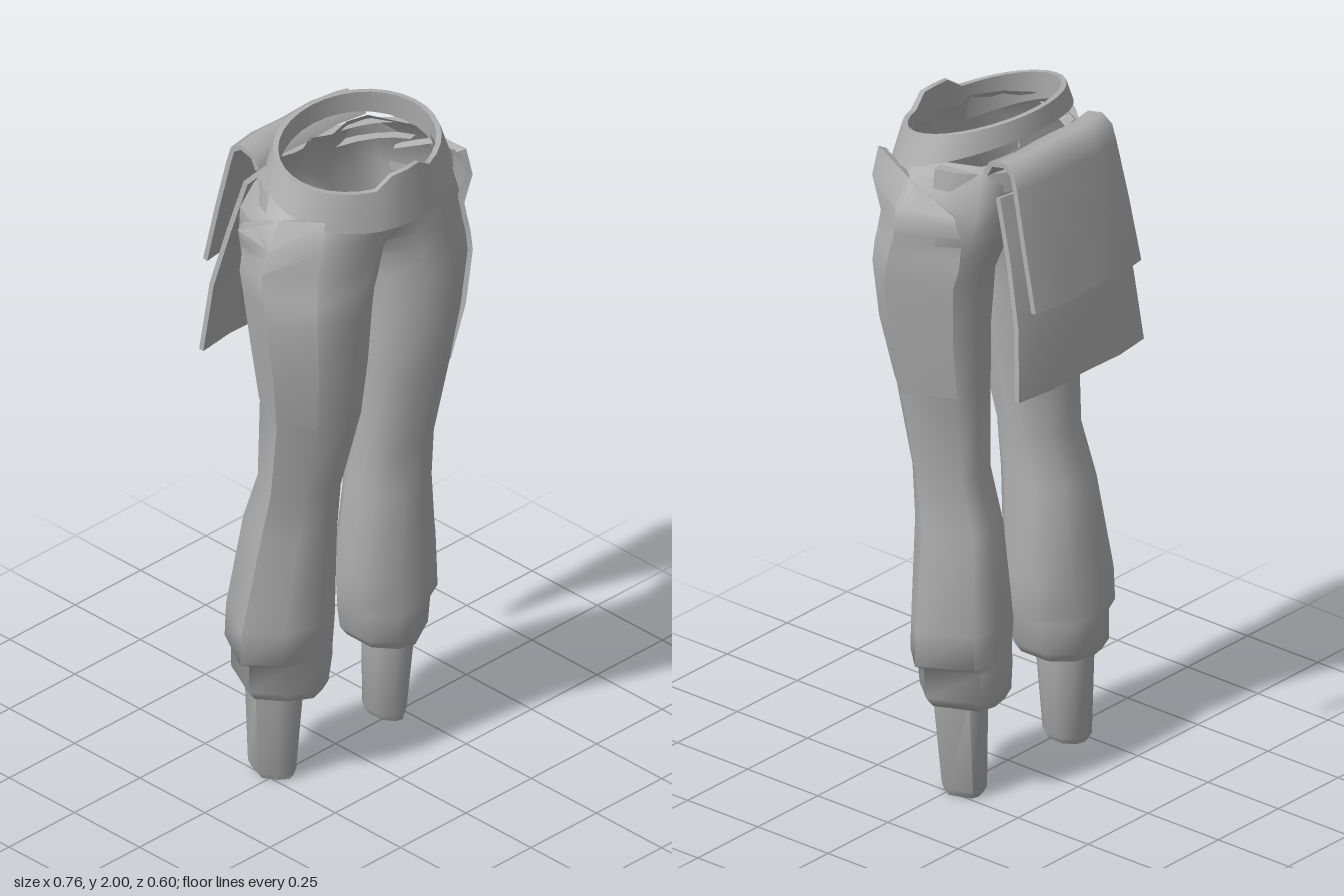
import * as THREE from 'three';
import { mergeGeometries, toCreasedNormals } from 'three/addons/utils/BufferGeometryUtils.js';

// Skin rows of points (bottom to top); faces lying on the centre plane are left out
function loft(rows, closed, flip = false) {
  const n = rows[0].length, pos = rows.flat(2), idx = [];
  for (let r = 0; r < rows.length - 1; r++) {
    for (let i = 0; i < (closed ? n : n - 1); i++) {
      const j = (i + 1) % n;
      const q = [r * n + i, r * n + j, (r + 1) * n + j, (r + 1) * n + i];
      if (q.every(k => Math.abs(pos[k * 3]) < 1e-6)) continue;
      if (flip) q.reverse();
      idx.push(q[0], q[1], q[2], q[0], q[2], q[3]);
    }
  }
  const g = new THREE.BufferGeometry();
  g.setAttribute('position', new THREE.Float32BufferAttribute(pos, 3));
  g.setIndex(idx);
  return g;
}

// Ten-sided cross-section of one leg: inner, front, outer, back
function legRing([y, xi, xo, zf, zb, zif, zib], s) {
  const w = xo - xi, d = zf - zb;
  const a = zif ?? zf - 0.3 * d, b = zib ?? zb + 0.3 * d;
  return [
    [0, a], [0.22, zf - 0.06 * d], [0.45, zf], [0.74, zf - 0.15 * d], [1, zf - 0.45 * d],
    [0.74, zb + 0.05 * d], [0.5, zb], [0.22, zb + 0.06 * d], [0, b], [0, (a + b) / 2],
  ].map(([u, z]) => [s * (xi + u * w), y, z]);
}

// y, inner x, outer x, front z, back z, front z and back z at the inner side
const LEG = [
  [0.28, 0.15, 0.3, 0.07, -0.095],
  [0.28, 0.1, 0.31, 0.11, -0.13],
  [0.31, 0.08, 0.335, 0.125, -0.145],
  [0.4, 0.07, 0.34, 0.135, -0.145],
  [0.42, 0.065, 0.375, 0.138, -0.145],
  [0.52, 0.057, 0.37, 0.14, -0.145],
  [0.8, 0.075, 0.32, 0.15, -0.11],
  [0.95, 0.075, 0.31, 0.16, -0.06],
  [1.2, 0.05, 0.325, 0.225, -0.05],
  [1.38, 0.045, 0.35, 0.255, -0.055],
  [1.55, 0.035, 0.375, 0.27, -0.07],
  [1.61, 0.02, 0.375, 0.268, -0.09, 0.14, 0],
  [1.64, 0, 0.375, 0.265, -0.1, 0.12, 0.02],
  [1.7, 0, 0.365, 0.26, -0.12, 0.19, -0.07],
  [1.78, 0, 0.345, 0.26, -0.13, 0.25, -0.12],
  [1.85, 0, 0.3, 0.25, -0.11, 0.26, -0.11],
  [1.89, 0, 0.265, 0.235, -0.09, 0.25, -0.1],
];
const ANKLE = [
  [0, 0.175, 0.265, 0.04, -0.085],
  [0.02, 0.162, 0.278, 0.045, -0.095],
  [0.3, 0.147, 0.302, 0.07, -0.095],
];

// Raised panel over the outside of the thigh, with a slanted top edge
function sidePanel(s) {
  const rows = LEG.filter(l => l[0] >= 1.2 && l[0] < 1.72).map((l, k) => {
    const o = k ? 0.01 : 0.002, p = legRing(l, s);
    return [
      [p[3][0], l[0], p[3][2] - 0.015], [p[3][0] + s * o, l[0], p[3][2] + o],
      [p[4][0] + s * o * 0.5, l[0], p[4][2]],
      [p[5][0] + s * o, l[0], Math.max(p[5][2], -0.07) - o * 0.5],
    ];
  });
  rows.push([[s * 0.275, 1.8, 0.225], [s * 0.285, 1.8, 0.24], [s * 0.352, 1.77, 0.1], [s * 0.3, 1.74, -0.075]]);
  rows.push([[s * 0.26, 1.88, 0.215], [s * 0.27, 1.885, 0.23], [s * 0.305, 1.85, 0.1], [s * 0.295, 1.77, -0.06]]);
  rows.push([[s * 0.25, 1.87, 0.205], [s * 0.255, 1.875, 0.215], [s * 0.28, 1.84, 0.1], [s * 0.27, 1.76, -0.05]]);
  return loft(rows, false, s < 0);
}

// Tilted waistband, low at the front with a small raised tab
function waistband() {
  const N = 32;
  const ring = (rx, zc, rz, top, inset) => Array.from({ length: N }, (_, i) => {
    const a = i / N * Math.PI * 2, c = Math.cos(a);
    const tab = top && Math.min(i, N - i) <= 1 ? 0.035 : 0;
    const y = top ? 1.96 - 0.04 * c + tab : 1.875 - 0.07 * c;
    return [(rx - inset) * Math.sin(a), y, zc + (rz - inset) * c];
  });
  return loft([
    ring(0.27, 0.09, 0.19, false, 0.015), ring(0.292, 0.09, 0.21, false, 0),
    ring(0.262, 0.083, 0.19, true, 0), ring(0.262, 0.083, 0.19, true, 0.015),
    ring(0.27, 0.09, 0.19, false, 0.015),
  ], true);
}

// Strap wrapping the back of the hips below the waistband
function backStrap() {
  const row = (y, o) => Array.from({ length: 13 }, (_, i) => {
    const t = i / 6 - 1, a = Math.PI + t * 1.35;
    return [-Math.sin(a) * -(0.285 + o), y + 0.03 * Math.abs(t), 0.07 + (0.215 + o) * Math.cos(a)];
  });
  return loft([row(1.8, -0.02), row(1.8, 0.01), row(1.855, 0), row(1.855, -0.03)], false);
}

// Thin hanging cloth; path points are y, z, half width, from hem to top
function flap(path) {
  const cols = [-1, -0.55, 0, 0.55, 1];
  const row = ([y, z, w], k, half) => {
    const p = path[Math.max(k - 1, 0)], q = path[Math.min(k + 1, path.length - 1)];
    const len = Math.hypot(q[0] - p[0], q[1] - p[1]);
    const oy = (q[1] - p[1]) / len * half, oz = -(q[0] - p[0]) / len * half;
    const side = d => cols.map(c => [
      c * w, y + d * oy, z + d * oz + (Math.abs(c) === 1 ? 0.015 : c === 0 ? 0.005 : 0)]);
    return [...side(1).reverse(), ...side(-1)];
  };
  const rows = path.map((p, k) => row(p, k, 0.008));
  rows.unshift(row(path[0], 0, 0));
  rows.push(row(path[path.length - 1], path.length - 1, 0));
  return loft(rows, true);
}

export function createModel() {
  const model = new THREE.Group();
  model.name = 'trousers';
  const cloth = new THREE.MeshStandardMaterial({ color: 0xb0b0b0, side: THREE.DoubleSide });
  cloth.name = 'grey cloth';
  const add = (name, geometry, crease = 0.9) => {
    const mesh = new THREE.Mesh(toCreasedNormals(geometry, crease), cloth);
    mesh.name = name;
    model.add(mesh);
  };

  // Both legs and the hips share one smooth skin
  add('legsAndHips', mergeGeometries([1, -1].map(s => loft(LEG.map(l => legRing(l, s)), true, s < 0))), 1.05);
  for (const [side, s] of [['left', 1], ['right', -1]]) {
    add(side + 'Ankle', loft(ANKLE.map(l => legRing(l, s)), true, s < 0));
    add(side + 'SidePanel', sidePanel(s));
  }
  add('waistband', waistband());
  add('backStrap', backStrap());
  add('upperFlap', flap([
    [1.52, -0.295, 0.22], [1.7, -0.255, 0.215], [1.86, -0.218, 0.207],
    [1.905, -0.205, 0.205], [1.925, -0.175, 0.205], [1.915, -0.13, 0.205], [1.88, -0.11, 0.205],
  ]));
  add('lowerFlap', flap([
    [1.26, -0.27, 0.26], [1.47, -0.25, 0.24], [1.65, -0.205, 0.22], [1.82, -0.155, 0.205],
  ]));
  return model;
}
